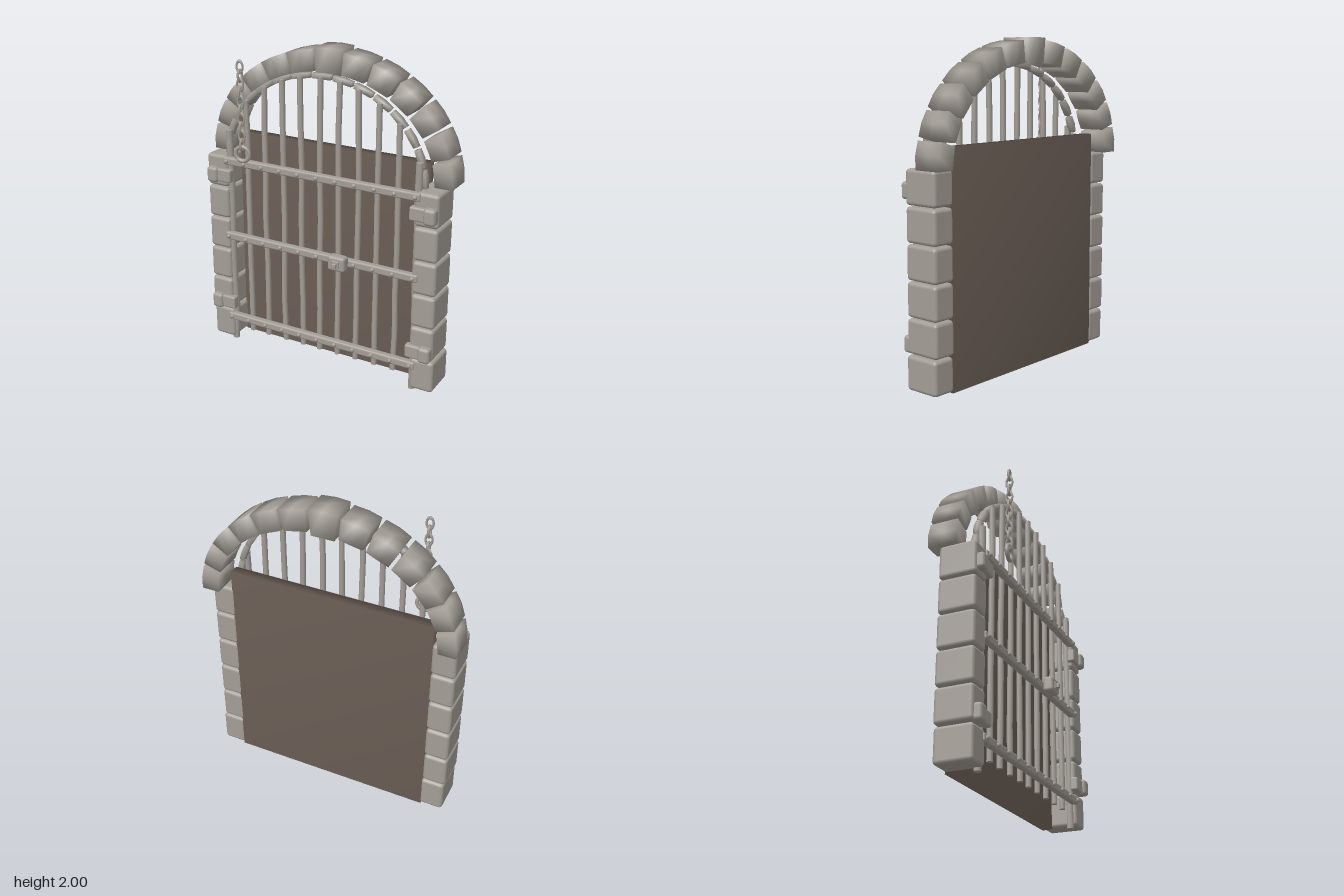
import * as THREE from 'three';
import { mergeVertices } from 'three/addons/utils/BufferGeometryUtils.js';
import { RoundedBoxGeometry } from 'three/addons/geometries/RoundedBoxGeometry.js';

const stone = new THREE.MeshStandardMaterial({ color: 0xa39d96 });
stone.name = 'stone grey';
const wood = new THREE.MeshStandardMaterial({ color: 0x6a5e55 });
wood.name = 'dark wood';

const SPRING = 1.28; // height where the arches begin

// Small seeded generator for hand-made irregularity
let seed = 7;
const rand = () => {
  seed = (seed * 16807) % 2147483647;
  return seed / 2147483647 - 0.5;
};

// Share corner normals so a shape shades softly
function soften(geo) {
  geo.deleteAttribute('normal');
  geo.deleteAttribute('uv');
  const merged = mergeVertices(geo, 1e-5);
  merged.computeVertexNormals();
  return merged;
}

function add(parent, name, geo, x = 0, y = 0, z = 0, mat = stone) {
  const mesh = new THREE.Mesh(geo, mat);
  mesh.name = name;
  mesh.position.set(x, y, z);
  parent.add(mesh);
  return mesh;
}

function group(parent, name) {
  const g = new THREE.Group();
  g.name = name;
  parent.add(g);
  return g;
}

const block = (w, h, d, r) => new RoundedBoxGeometry(w, h, d, 2, r);

// Wedge following an elliptical arch, swelling a little in the middle
function wedge(t0, t1, inner, outer, zBack, zFront, swell) {
  const geo = new THREE.BoxGeometry(1, 1, 1, 2, 1, 2);
  const p = geo.attributes.position;
  for (let i = 0; i < p.count; i++) {
    const u = p.getX(i), v = p.getY(i) + 0.5, w = p.getZ(i);
    const t = THREE.MathUtils.lerp(t1, t0, u + 0.5);
    const rx = THREE.MathUtils.lerp(inner[0], outer[0], v);
    const ry = THREE.MathUtils.lerp(inner[1], outer[1], v);
    const depth = (zFront - zBack) * (1 - swell * Math.abs(u) * 2);
    p.setXYZ(i, rx * Math.cos(t), SPRING + ry * Math.sin(t), (zFront + zBack) / 2 + w * depth);
  }
  return soften(geo);
}

// Upright bar with a slight hammered wobble
function bar(radius, bottom, top) {
  const geo = new THREE.CylinderGeometry(radius, radius, top - bottom, 8, 6);
  const p = geo.attributes.position;
  const shift = Array.from({ length: 7 }, () => rand() * 0.012);
  for (let i = 0; i < p.count; i++) {
    const k = Math.round((p.getY(i) / (top - bottom) + 0.5) * 6);
    p.setX(i, p.getX(i) + shift[k]);
  }
  return geo.translate(0, (top + bottom) / 2, 0);
}

// Oval chain link
const link = () => new THREE.TorusGeometry(0.025, 0.008, 6, 14).scale(0.8, 1.35, 1);

export function createModel() {
  const model = new THREE.Group();
  model.name = 'gate';

  // Pillars of six stacked stones
  for (const side of [-1, 1]) {
    const pillar = group(model, side > 0 ? 'leftPillar' : 'rightPillar');
    for (let i = 0; i < 6; i++) {
      const geo = block(0.15, 0.205, 0.23, 0.022);
      const foot = i === 0 ? 0.008 : 0;
      add(pillar, 'pillarStone', geo, side * 0.712 - 0.007 + foot, 0.12 + i * 0.2115, -0.006);
    }
  }

  // Stone arch with a taller keystone
  const arch = group(model, 'stoneArch');
  const step = Math.PI / 13;
  for (let i = 0; i < 13; i++) {
    const key = i === 6;
    const gap = 0.015;
    const geo = wedge(i * step + (i === 0 ? 0 : gap), (i + 1) * step - (i === 12 ? 0 : gap),
      key ? [0.67, 0.56] : [0.70, 0.578], key ? [0.83, 0.721] : [0.81, 0.708],
      -0.188, -0.004, 0.06);
    add(arch, key ? 'keystone' : 'archStone', geo);
  }

  // Wooden panel at the back
  add(model, 'backPanel', soften(new THREE.BoxGeometry(1.29, 1.39, 0.065)), 0, 0.705, -0.085, wood);

  // Segmented inner iron arch
  const innerArch = group(model, 'innerArch');
  const small = Math.PI / 15;
  for (let i = 0; i < 15; i++) {
    add(innerArch, 'innerArchSegment',
      wedge(i * small + 0.012, (i + 1) * small - 0.012, [0.65, 0.555], [0.68, 0.585], 0.015, 0.062, 0.25));
  }

  // Upright bars reaching the inner arch
  const bars = group(model, 'uprightBars');
  for (let i = -5; i <= 5; i++) {
    const x = i * 0.128;
    const edge = Math.abs(i) === 5;
    const top = SPRING + 0.57 * Math.sqrt(1 - (x / 0.668) ** 2);
    add(bars, 'uprightBar', bar(edge ? 0.022 : 0.018, edge ? 0 : 0.09, top), x, 0, 0.07);
  }

  // Cross bars with a rivet on every upright
  const crossBars = group(model, 'crossBars');
  for (const y of [0.175, 0.75, 1.252]) {
    add(crossBars, 'crossBar', block(1.34, 0.05, 0.045, 0.012), 0, y, 0.097);
    for (let i = -5; i <= 5; i++) {
      add(crossBars, 'rivet', new THREE.SphereGeometry(0.014, 8, 6), i * 0.128, y, 0.121);
    }
  }

  // Hinges
  for (const side of [-1, 1]) {
    for (const y of [0.278, 1.155]) {
      const hinge = group(model, 'hinge');
      add(hinge, 'hingeKnuckle', block(0.075, 0.1, 0.075, 0.02), side * 0.738, y, 0.112);
      add(hinge, 'hingeStrap', block(0.1, 0.085, 0.05, 0.012), side * 0.66, y, 0.108);
    }
  }

  // Lock with a raised keyhole stud
  const lock = group(model, 'lock');
  add(lock, 'lockBody', block(0.115, 0.095, 0.065, 0.018), 0.167, 0.757, 0.148);
  add(lock, 'lockPlate', block(0.05, 0.05, 0.012, 0.005), 0.167, 0.755, 0.181);
  add(lock, 'lockStud', block(0.024, 0.03, 0.03, 0.005), 0.167, 0.753, 0.188);

  // Hanging chain of alternating links, with a pull ring
  const chain = group(model, 'chain');
  chain.position.set(-0.485, 0, 0.165);
  for (let i = 0; i < 10; i++) {
    const m = add(chain, 'chainLink', link(), 0, 1.872 - i * 0.0528, 0);
    m.rotation.y = i % 2 ? Math.PI / 2 : 0.12;
  }
  const ring = add(chain, 'pullRing', new THREE.TorusGeometry(0.045, 0.013, 8, 18), 0, 1.337, 0);
  ring.rotation.y = 0.15;

  return model;
}
